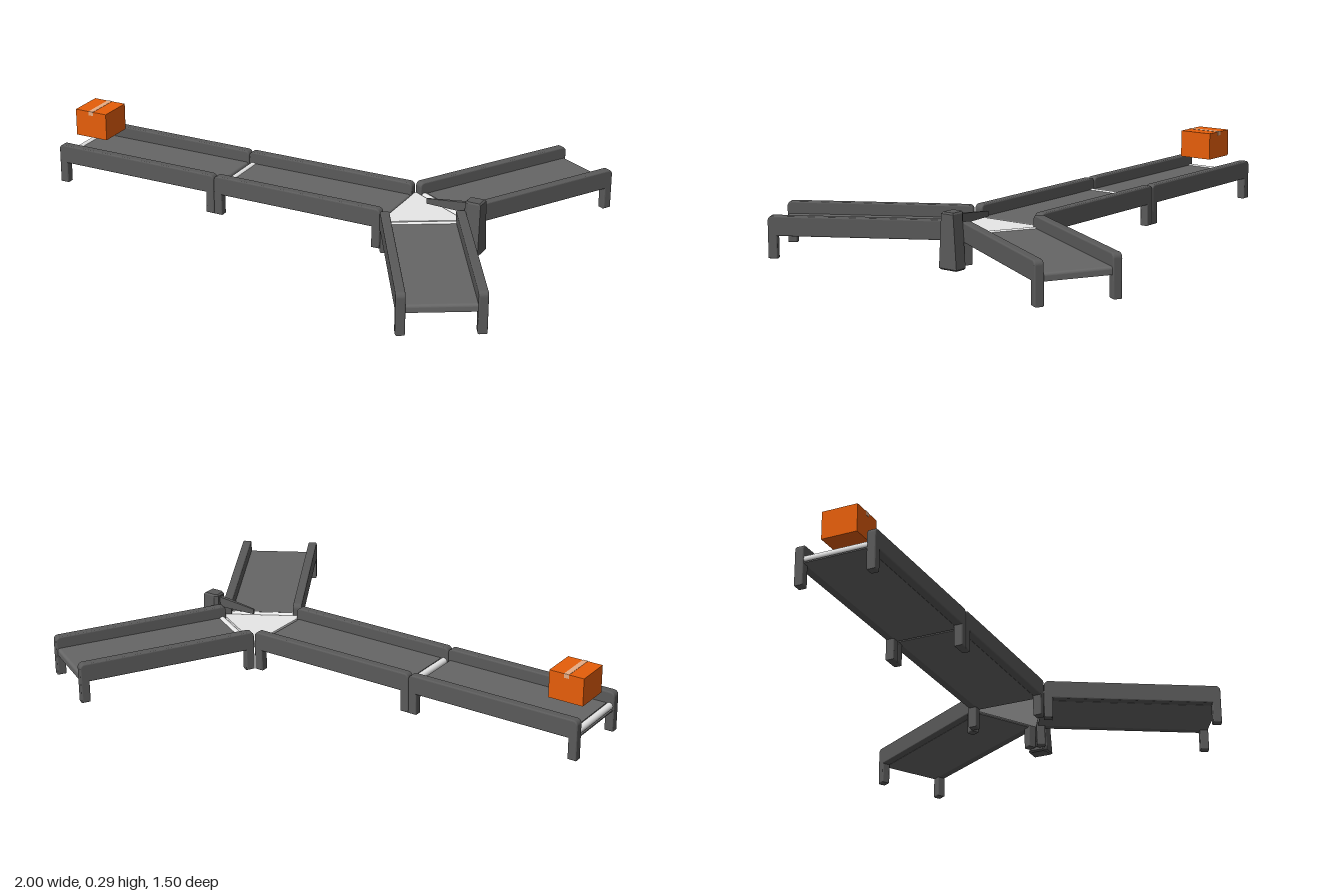
import * as THREE from 'three';

const mat = (name, color) => {
  const m = new THREE.MeshStandardMaterial({ color });
  m.name = name;
  return m;
};
const LENGTH = 0.692, HALF = 0.155, RAIL = 0.034;

export function createModel() {
  const frame = mat('frame grey', 0x5a5a5a);
  const belt = mat('belt grey', 0x666666);
  const metal = mat('light metal', 0xf0f0f0);
  const card = mat('orange cardboard', 0xe65e0a);
  const tape = mat('parcel tape', 0xf0b48a);

  const model = new THREE.Group();
  model.name = 'conveyorJunction';
  const add = (parent, name, geo, material, x = 0, y = 0, z = 0) => {
    const m = new THREE.Mesh(geo, material);
    m.name = name;
    m.position.set(x, y, z);
    parent.add(m);
    return m;
  };

  // Side rail with a leg at each end, drawn as one bridge outline
  const L = LENGTH, leg = 0.034, r = 0.018, top = 0.167;
  const rail = new THREE.Shape();
  rail.moveTo(0, 0.013);
  rail.lineTo(leg, 0.013);
  rail.lineTo(leg, 0.095);
  rail.lineTo(L - leg, 0.095);
  rail.lineTo(L - leg, 0.013);
  rail.lineTo(L, 0.013);
  rail.lineTo(L, top - r);
  rail.absarc(L - r, top - r, r, 0, Math.PI / 2, false);
  rail.lineTo(r, top);
  rail.absarc(r, top - r, r, Math.PI / 2, Math.PI, false);
  rail.closePath();
  const bevel = 0.005;
  const railGeo = new THREE.ExtrudeGeometry(rail, {
    depth: RAIL - 2 * bevel, bevelSize: bevel, bevelThickness: bevel,
    bevelOffset: -bevel, bevelSegments: 3, curveSegments: 5
  });
  railGeo.translate(0, 0, bevel - RAIL / 2);

  // Thin belt sunk between the rails: a lip under the start roller, a rounded far end
  const side = new THREE.Shape();
  side.moveTo(0.004, 0.095);
  side.lineTo(L - 0.004, 0.095);
  side.lineTo(L - 0.004, 0.112);
  side.absarc(L - 0.014, 0.112, 0.01, 0, Math.PI / 2, false);
  side.lineTo(0.03, 0.122);
  side.lineTo(0.03, 0.1);
  side.lineTo(0.004, 0.1);
  side.closePath();
  const inner = 2 * (HALF - RAIL) + 0.004;
  const beltGeo = new THREE.ExtrudeGeometry(side, { depth: inner, bevelEnabled: false, curveSegments: 6 });
  beltGeo.translate(0, 0, -inner / 2);
  const rollerGeo = new THREE.CylinderGeometry(0.0135, 0.0135, inner, 20);
  rollerGeo.rotateX(Math.PI / 2);

  // One straight conveyor running from its origin
  const conveyor = (name, x, z, angle) => {
    const g = new THREE.Group();
    g.name = name;
    g.position.set(x, 0, z);
    g.rotation.y = angle;
    for (const s of [-1, 1])
      add(g, s > 0 ? 'leftRail' : 'rightRail', railGeo, frame, 0, 0, s * (HALF - RAIL / 2));
    add(g, 'belt', beltGeo, belt);
    add(g, 'startRoller', rollerGeo, metal, 0.0175, 0.1125, 0);
    model.add(g);
  };
  const joint = -1 + 2 * L, height = HALF * Math.sqrt(3);
  conveyor('infeedConveyor', -1, 0, 0);
  conveyor('middleConveyor', -1 + L, 0, 0);
  for (const s of [-1, 1])
    conveyor(s > 0 ? 'leftBranch' : 'rightBranch', joint + height / 2, s * HALF / 2, -s * Math.PI / 3);

  // Triangular plate joining the three belts
  const tri = new THREE.Shape([
    new THREE.Vector2(0, -HALF), new THREE.Vector2(height, 0), new THREE.Vector2(0, HALF)
  ]);
  const triGeo = new THREE.ExtrudeGeometry(tri, { depth: 0.02, bevelEnabled: false });
  triGeo.rotateX(-Math.PI / 2);
  add(model, 'junctionPlate', triGeo, metal, joint, 0.102, 0);

  // Post: chamfered plan raised to a block that narrows towards the top
  const plan = new THREE.Shape([
    [-0.032, -0.026], [-0.018, -0.04], [0.032, -0.04], [0.032, 0.04], [-0.018, 0.04], [-0.032, 0.026]
  ].map(([x, z]) => new THREE.Vector2(x, z)));
  const edge = 0.006;
  const postGeo = new THREE.ExtrudeGeometry(plan, {
    depth: 0.207 - 2 * edge, bevelSize: edge, bevelThickness: edge, bevelOffset: -edge, bevelSegments: 1
  });
  postGeo.rotateX(-Math.PI / 2);
  postGeo.translate(0, edge, 0);
  const post = postGeo.attributes.position;
  for (let i = 0; i < post.count; i++) post.setZ(i, post.getZ(i) * (1 - 1.6 * post.getY(i)));
  postGeo.computeVertexNormals();
  add(model, 'post', postGeo, frame, 0.69, 0, 0);

  // Diverter paddle reaching over the junction
  const paddle = new THREE.Shape([[0.5, 0.158], [0.67, 0.155], [0.67, 0.196], [0.5, 0.178]]
    .map(([x, y]) => new THREE.Vector2(x, y)));
  const paddleGeo = new THREE.ExtrudeGeometry(paddle, { depth: 0.016, bevelEnabled: false });
  paddleGeo.translate(0, 0, -0.008);
  const pos = paddleGeo.attributes.position;
  for (let i = 0; i < pos.count; i++) if (pos.getX(i) < 0.51) pos.setZ(i, pos.getZ(i) * 0.4);
  paddleGeo.computeVertexNormals();
  add(model, 'diverterPaddle', paddleGeo, frame);

  // Parcel with tape over its top, folded down both sides
  const parcel = new THREE.Group();
  parcel.name = 'parcel';
  parcel.position.set(-0.905, 0.184, 0);
  add(parcel, 'box', new THREE.BoxGeometry(0.137, 0.106, 0.138), card, 0, 0.053, 0);
  add(parcel, 'topTape', new THREE.BoxGeometry(0.02, 0.002, 0.14), tape, 0, 0.106, 0);
  for (const s of [-1, 1])
    add(parcel, 'tapeEnd', new THREE.BoxGeometry(0.02, 0.016, 0.002), tape, 0, 0.099, s * 0.069);
  model.add(parcel);

  return model;
}
